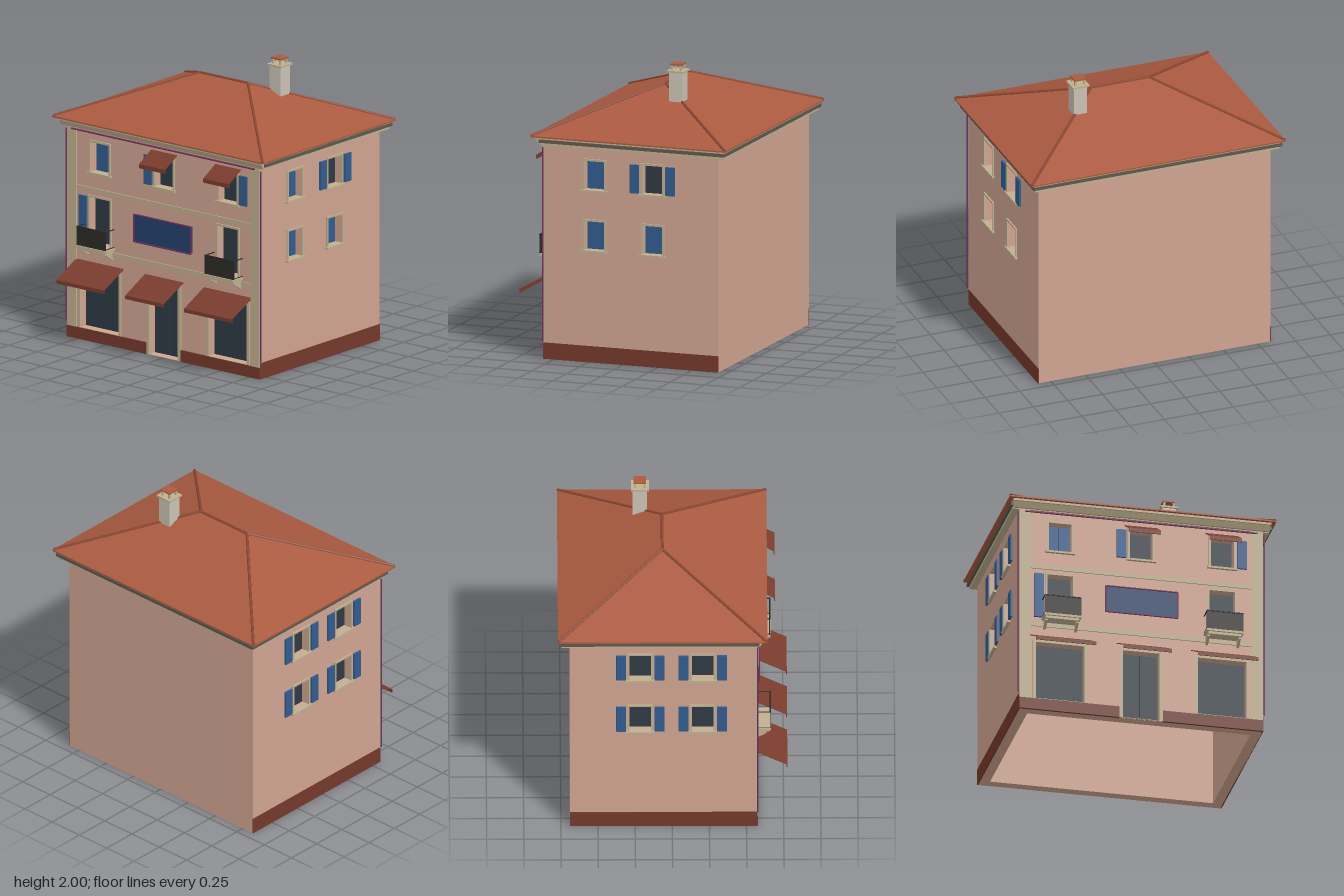
import * as THREE from 'three';
import { ConvexGeometry } from 'three/addons/geometries/ConvexGeometry.js';

const mat = (color) => new THREE.MeshStandardMaterial({ color });
const M = {
  wall: mat(0xd0a491), stone: mat(0xc0b090), plinth: mat(0x74392b), roof: mat(0xaa5a40), ridge: mat(0x8c4833),
  awning: mat(0x7a3c2e), blue: mat(0x315c8e), glass: mat(0x2f3a43), iron: mat(0x2c2a27), gutter: mat(0x60584c),
  sign: mat(0x24406c), neon: mat(0x76305c), chimney: mat(0xcac3b5),
};
const T = 0.07; // wall thickness

function add(parent, name, geometry, material) {
  const mesh = new THREE.Mesh(geometry, material);
  mesh.name = name;
  parent.add(mesh);
  return mesh;
}

// box given by its extents on each axis
function box(parent, name, material, x0, x1, y0, y1, z0, z1) {
  const mesh = add(parent, name, new THREE.BoxGeometry(x1 - x0, y1 - y0, z1 - z0), material);
  mesh.position.set((x0 + x1) / 2, (y0 + y1) / 2, (z0 + z1) / 2);
  return mesh;
}

const rect = (C, x0, x1, y0, y1) =>
  new C([[x0, y0], [x1, y0], [x1, y1], [x0, y1]].map((p) => new THREE.Vector2(...p)));

// rectangular panel with rectangular holes, lying between z0 and z1
function panel(parent, name, material, [x0, x1, y0, y1], holes, z0, z1) {
  const shape = rect(THREE.Shape, x0, x1, y0, y1);
  shape.holes = holes.map((h) => rect(THREE.Path, ...h));
  const geo = new THREE.ExtrudeGeometry(shape, { depth: z1 - z0, bevelEnabled: false });
  return add(parent, name, geo.translate(0, 0, z0), material);
}

// profile of [z, y] points extruded along x
function extrudeX(parent, name, material, points, x0, x1) {
  const shape = new THREE.Shape(points.map(([z, y]) => new THREE.Vector2(-z, y)));
  const geo = new THREE.ExtrudeGeometry(shape, { depth: x1 - x0, bevelEnabled: false });
  return add(parent, name, geo.rotateY(Math.PI / 2).translate(x0, 0, 0), material);
}

function rod(parent, name, material, a, b, r) {
  const p = new THREE.Vector3(...a), q = new THREE.Vector3(...b), d = q.clone().sub(p);
  const mesh = add(parent, name, new THREE.CylinderGeometry(r, r, d.length(), 6), material);
  mesh.position.copy(p).add(q).multiplyScalar(0.5);
  mesh.quaternion.setFromUnitVectors(new THREE.Vector3(0, 1, 0), d.normalize());
}

// opening with stone frame, recessed infill, optional sill and open shutters; returns its hole
function opening(parent, name, u, y0, y1, w, { fill = M.glass, leaves = 1, frame = 0.014, sill = true, shutters = [] } = {}) {
  const g = new THREE.Group(), h = w / 2, bottom = sill ? y0 : y0 - 0.001;
  g.name = name;
  parent.add(g);
  panel(g, 'frame', M.stone, [u - h - frame, u + h + frame, bottom - 0.002, y1 + frame], [[u - h, u + h, y0, y1]], -0.002, 0.01);
  for (let i = 0; i < leaves; i++) {
    const a = u - h + (w * i) / leaves;
    box(g, fill === M.blue ? 'closedShutter' : 'pane', fill, a + (i ? 0.003 : 0), a + w / leaves, y0, y1, -T + 0.002, -T + 0.016);
  }
  if (sill) box(g, 'sill', M.stone, u - h - 0.024, u + h + 0.024, y0 - 0.012, y0 + 0.002, -0.03, 0.02);
  for (const s of shutters) {
    const a = u + s * (h + 0.024), b = a + s * 0.066;
    box(g, 'openShutter', M.blue, Math.min(a, b), Math.max(a, b), y0 + 0.004, y1, 0.002, 0.016);
  }
  return [u - h, u + h, y0, y1];
}

// sloping cloth with a short hanging valance
function awning(parent, x0, x1, top, reach, edge, hem) {
  const t = 0.006;
  extrudeX(parent, 'awning', M.awning, [[0, top], [reach, edge], [reach, hem], [reach - t, hem], [reach - t, edge - 0.002], [0, top - t]], x0, x1);
}

function balcony(parent, u) {
  const g = new THREE.Group(), h = 0.127, out = 0.1;
  g.name = 'balcony';
  g.position.x = u;
  parent.add(g);
  box(g, 'slab', M.stone, -h, h, 0.668, 0.684, 0, out);
  box(g, 'slabMoulding', M.stone, -h + 0.012, h - 0.012, 0.65, 0.668, 0, out - 0.012);
  for (const s of [-1, 1]) {
    const x = s * 0.107;
    extrudeX(g, 'bracket', M.stone, [[0, 0.65], [0, 0.602], [0.022, 0.612], [0.07, 0.64], [0.07, 0.65]], x - 0.008, x + 0.008);
    rod(g, 'sideHandrail', M.iron, [s * (h - 0.004), 0.816, 0], [s * (h - 0.004), 0.816, out], 0.004);
    rod(g, 'sideFootrail', M.iron, [s * (h - 0.004), 0.692, 0], [s * (h - 0.004), 0.692, out], 0.003);
  }
  box(g, 'railingFront', M.iron, -h, h, 0.686, 0.816, out - 0.008, out - 0.003);
  rod(g, 'frontHandrail', M.iron, [-h, 0.816, out - 0.004], [h, 0.816, out - 0.004], 0.005);
}

function buildFacade(root) {
  const g = new THREE.Group();
  g.name = 'frontFacade';
  g.position.z = 0.565;
  root.add(g);
  const holes = [opening(g, 'entranceDoor', 0, 0.004, 0.5, 0.25, { leaves: 2, frame: 0.024, sill: false })];
  for (const s of [-1, 1]) {
    holes.push(opening(g, 'shopWindow', s * 0.56, 0.085, 0.5, 0.335, { frame: 0.02, sill: false }));
    holes.push(opening(g, 'balconyDoor', s * 0.56, 0.684, 1.01, 0.175, { sill: false, shutters: s < 0 ? [-1] : [] }));
    balcony(g, s * 0.56);
    box(g, 'cornerPilaster', M.stone, s < 0 ? -0.841 : 0.762, s < 0 ? -0.762 : 0.841, 0.08, 1.48, -0.004, 0.01);
    box(g, 'plinth', M.plinth, s < 0 ? -0.843 : 0.15, s < 0 ? -0.15 : 0.843, 0, 0.08, -0.004, 0.012);
    rod(g, 'lightStripSide', M.neon, [s * 0.85, 0.12, 0.01], [s * 0.85, 1.455, 0.01], 0.005);
  }
  holes.push(
    opening(g, 'upperWindow', -0.56, 1.185, 1.395, 0.158, { fill: M.blue, leaves: 2 }),
    opening(g, 'upperWindow', 0, 1.185, 1.395, 0.158, { shutters: [-1] }),
    opening(g, 'upperWindow', 0.56, 1.185, 1.395, 0.158, { shutters: [1] }),
  );
  panel(g, 'frontWall', M.wall, [-0.84, 0.84, 0, 1.48], holes, -T, 0);

  // ground floor and upper awnings
  for (const [x0, x1] of [[-0.77, -0.355], [-0.168, 0.166], [0.346, 0.763]]) awning(g, x0, x1, 0.555, 0.21, 0.45, 0.425);
  for (const [x0, x1] of [[-0.115, 0.11], [0.445, 0.668]]) awning(g, x0, x1, 1.435, 0.128, 1.36, 1.332);

  // string courses
  for (const [y0, y1] of [[0.62, 0.655], [1.048, 1.076]]) box(g, 'stringCourse', M.stone, -0.762, 0.762, y0, y1, -0.002, 0.008);

  // sign board with a light strip around it, and a strip under the eaves
  box(g, 'signBoard', M.sign, -0.245, 0.245, 0.776, 0.96, 0, 0.02);
  for (const y of [0.772, 0.962]) rod(g, 'signStrip', M.neon, [-0.25, y, 0.022], [0.25, y, 0.022], 0.005);
  for (const x of [-0.248, 0.248]) rod(g, 'signStrip', M.neon, [x, 0.772, 0.022], [x, 0.962, 0.022], 0.005);
  rod(g, 'lightStripTop', M.neon, [-0.8, 1.463, 0.012], [0.8, 1.463, 0.012], 0.006);
}

function buildSide(root, s) {
  const g = new THREE.Group();
  g.name = s > 0 ? 'leftSide' : 'rightSide';
  g.position.x = s * 0.84;
  g.rotation.y = (s * Math.PI) / 2;
  root.add(g);
  const holes = [];
  for (const z of [0.205, -0.215]) {
    for (const y of [0.77, 1.185]) {
      const open = s < 0 || (z < 0 && y > 1);
      holes.push(opening(g, 'sideWindow', -s * z, y, y + 0.2, 0.145, open ? { shutters: [-1, 1] } : { fill: M.blue, leaves: 2 }));
    }
  }
  const span = (a, b) => (s > 0 ? [-b, -a] : [a, b]);
  panel(g, 'sideWall', M.wall, [...span(-0.62, 0.495), 0, 1.48], holes, -T, 0);
  box(g, 'sidePlinth', M.plinth, ...span(-0.69, 0.574), 0, 0.112, -0.004, 0.004);
}

function buildRoof(root) {
  const g = new THREE.Group();
  g.name = 'roof';
  root.add(g);
  // stepped cornice
  box(g, 'corniceLower', M.stone, -0.885, 0.885, 1.475, 1.495, -0.745, 0.575);
  box(g, 'corniceGutter', M.gutter, -0.9, 0.9, 1.495, 1.517, -0.757, 0.585);
  box(g, 'corniceUpper', M.stone, -0.89, 0.89, 1.517, 1.54, -0.75, 0.62);
  extrudeX(g, 'corniceFront', M.stone, [[0.575, 1.48], [0.59, 1.48], [0.61, 1.517], [0.575, 1.517]], -0.885, 0.885);
  // hipped roof
  const zc = -0.065, pts = [];
  for (const x of [-1, 1]) {
    pts.push(new THREE.Vector3(x * 0.21, 1.82, zc));
    for (const z of [-1, 1]) for (const y of [1.532, 1.542]) pts.push(new THREE.Vector3(x * 0.92, y, zc + z * 0.705));
  }
  add(g, 'roofSlopes', new ConvexGeometry(pts), M.roof);
  rod(g, 'ridgeTile', M.ridge, [-0.21, 1.82, zc], [0.21, 1.82, zc], 0.01);
  for (const x of [-1, 1]) for (const z of [-1, 1])
    rod(g, 'hipTile', M.ridge, [x * 0.21, 1.82, zc], [x * 0.915, 1.544, zc + z * 0.7], 0.01);
}

function buildChimney(root) {
  const g = new THREE.Group();
  g.name = 'chimney';
  g.position.set(0.364, 0, -0.214);
  root.add(g);
  box(g, 'stack', M.chimney, -0.048, 0.048, 1.735, 1.945, -0.048, 0.048);
  box(g, 'collar', M.stone, -0.061, 0.061, 1.942, 1.955, -0.061, 0.061);
  for (const x of [-1, 1]) for (const z of [-1, 1]) {
    const post = box(g, 'capPost', M.stone, -0.006, 0.006, 1.955, 1.99, -0.006, 0.006);
    post.position.x = x * 0.032;
    post.position.z = z * 0.032;
  }
  box(g, 'cap', M.roof, -0.042, 0.042, 1.99, 2, -0.042, 0.042);
}

export function createModel() {
  const root = new THREE.Group();
  root.name = 'townHouse';
  buildFacade(root);
  buildSide(root, 1);
  buildSide(root, -1);
  box(root, 'backWall', M.wall, -0.84, 0.84, 0, 1.48, -0.69, -0.62);
  buildRoof(root);
  buildChimney(root);
  return root;
}
